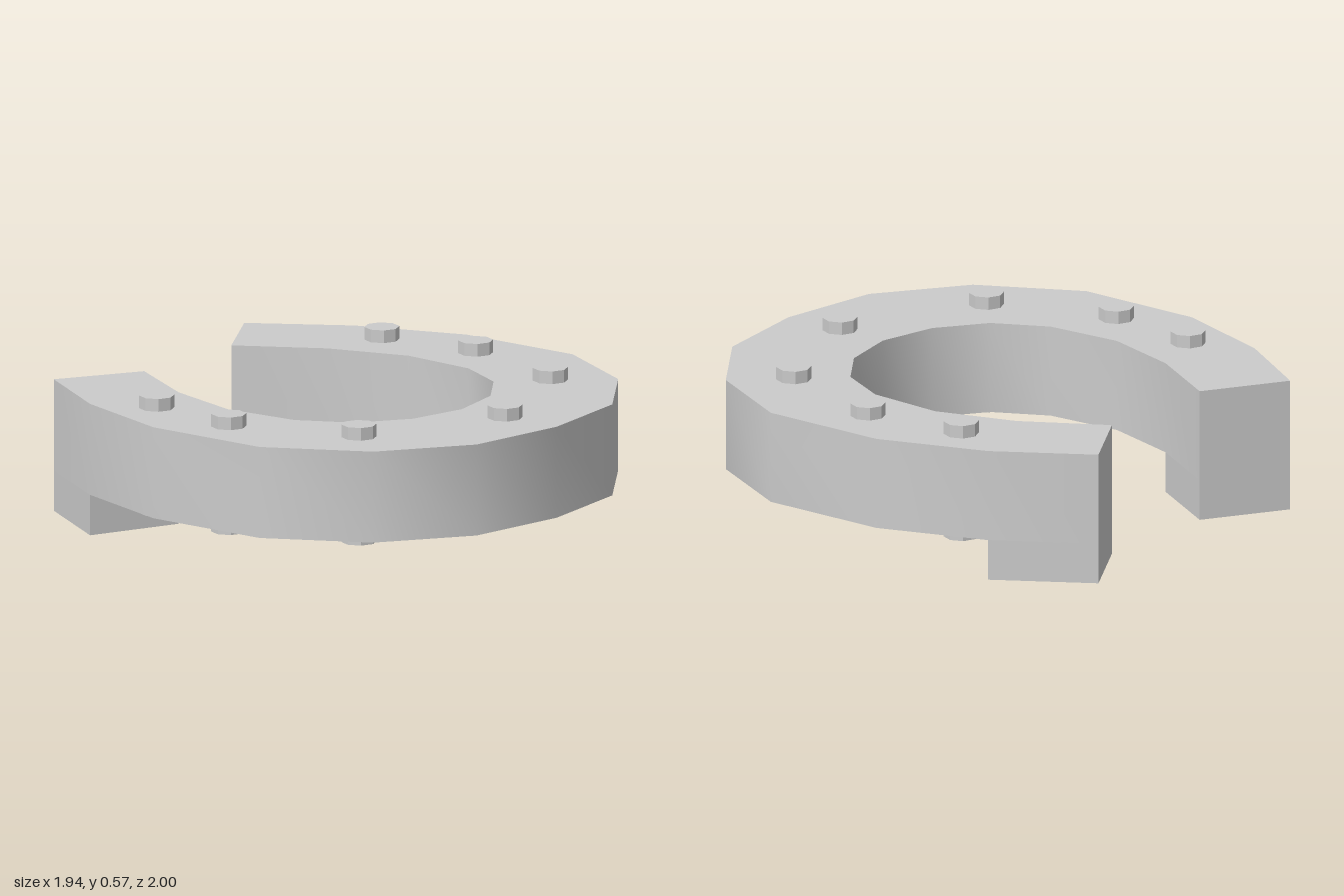
import * as THREE from 'three';
import { toCreasedNormals } from 'three/addons/utils/BufferGeometryUtils.js';

const material = new THREE.MeshStandardMaterial({ color: 0xcccccc });

// One half of the plan as [x, z], from the heel to the toe
const outer = [[0.59, -1], [0.82, -0.64], [0.97, -0.21], [0.97, 0.31], [0.76, 0.7], [0.42, 0.94], [0, 1]];
const inner = [[0.27, -0.81], [0.46, -0.49], [0.56, -0.17], [0.54, 0.14], [0.43, 0.35], [0.24, 0.485], [0, 0.535]];

// Whole curve: the half followed by its mirror image
const mirrored = (half) => [...half, ...half.slice(0, -1).reverse().map(([x, z]) => [-x, z])];

// Upright prism from a plan outline, between two heights
function prism(name, plan, bottom, top) {
  const shape = new THREE.Shape(plan.map(([x, z]) => new THREE.Vector2(x, -z)));
  const geometry = new THREE.ExtrudeGeometry(shape, { depth: top - bottom, bevelEnabled: false });
  geometry.rotateX(-Math.PI / 2).translate(0, bottom, 0);
  const mesh = new THREE.Mesh(toCreasedNormals(geometry, 0.5), material);
  mesh.name = name;
  return mesh;
}

export function createModel() {
  const model = new THREE.Group();
  model.name = 'horseshoe';

  // Curved plate
  const plan = [...mirrored(outer), ...mirrored(inner).reverse()];
  model.add(prism('shoePlate', plan, 0.16, 0.52));

  // Blocks under the two heel ends
  for (const [side, name] of [[1, 'leftHeel'], [-1, 'rightHeel']]) {
    const block = [outer[0], outer[1], inner[1], inner[0]].map(([x, z]) => [side * x, z]);
    model.add(prism(name, block, 0, 0.16));
  }

  // Octagonal nails passing through the plate
  const nails = new THREE.Group();
  nails.name = 'nails';
  const nailGeometry = toCreasedNormals(new THREE.CylinderGeometry(0.068, 0.068, 0.465, 8), 0.5);
  const spots = [
    [-0.71, -0.4], [0.71, -0.42], [-0.775, 0.005], [0.76, 0],
    [-0.6, 0.505], [0.585, 0.505], [-0.005, 0.75],
  ];
  spots.forEach(([x, z], i) => {
    const nail = new THREE.Mesh(nailGeometry, material);
    nail.name = `nail${i + 1}`;
    nail.position.set(x, 0.3375, z);
    nails.add(nail);
  });
  model.add(nails);

  return model;
}
